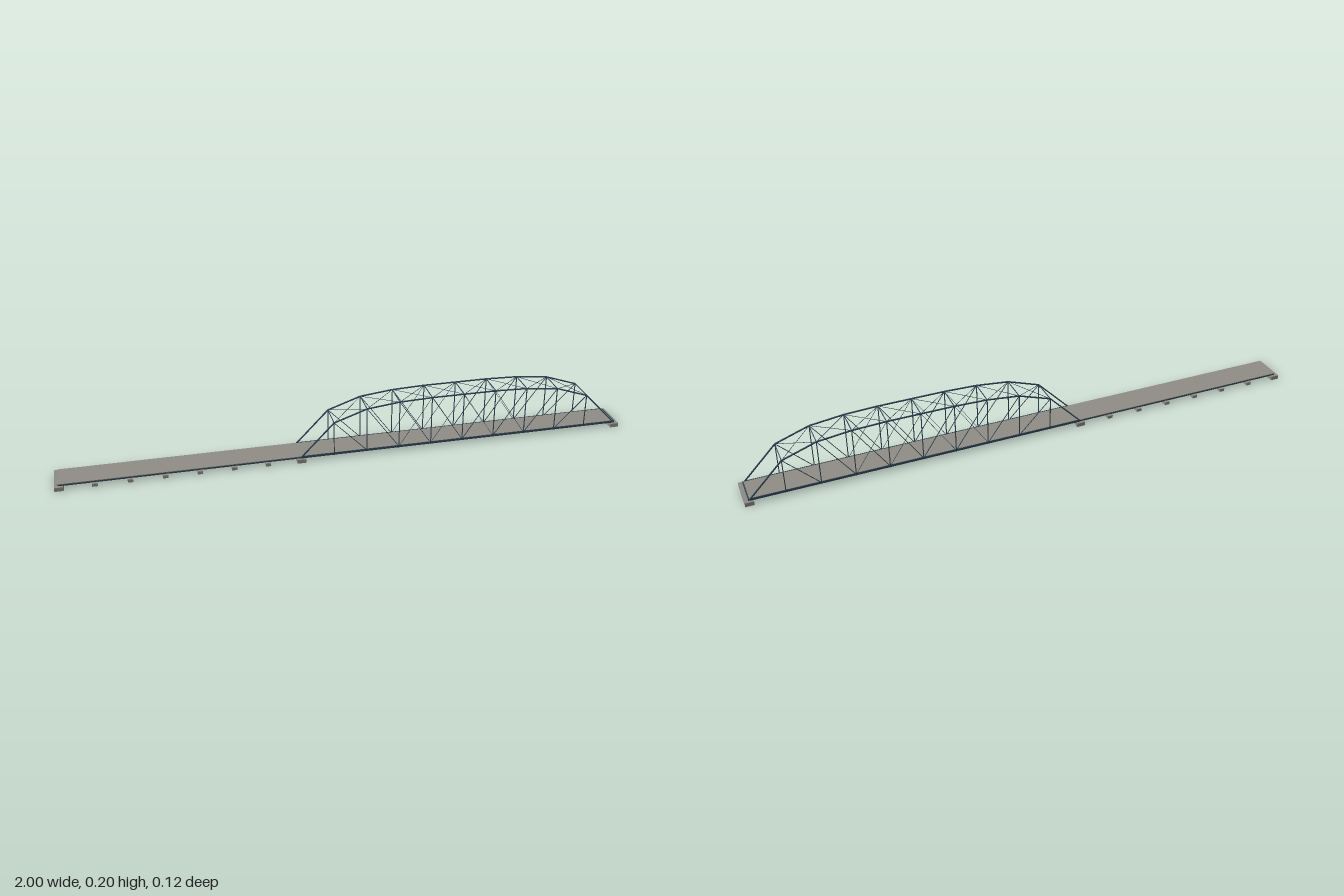
import * as THREE from 'three';

const steel = new THREE.MeshStandardMaterial({ color: 0x34495a });
const concrete = new THREE.MeshStandardMaterial({ color: 0x8c8a84 });
const roadway = new THREE.MeshStandardMaterial({ color: 0x8f8d85 });

const HALF = 0.05;            // half spacing of the two trusses
const START = -0.175;         // first truss node
const PANEL = 0.1157;         // truss panel length
const PANELS = 10;
const BASE = 0.0175;          // level of the bottom chord
const TOPS = [BASE, 0.137, 0.177, 0.19, 0.194, 0.194, 0.194, 0.19, 0.177, 0.137, BASE];
const X = i => START + i * PANEL;
const low = (i, z) => new THREE.Vector3(X(i), BASE, z);
const high = (i, z) => new THREE.Vector3(X(i), TOPS[i], z);

function box(parent, name, x0, x1, y0, y1, z0, z1, material) {
  const mesh = new THREE.Mesh(new THREE.BoxGeometry(x1 - x0, y1 - y0, z1 - z0), material);
  mesh.position.set((x0 + x1) / 2, (y0 + y1) / 2, (z0 + z1) / 2);
  mesh.name = name;
  parent.add(mesh);
}

// Straight square steel member between two points
function bar(parent, name, a, b, size) {
  const mesh = new THREE.Mesh(new THREE.BoxGeometry(size, size, a.distanceTo(b)), steel);
  mesh.position.copy(a).add(b).multiplyScalar(0.5);
  mesh.lookAt(b);
  mesh.name = name;
  parent.add(mesh);
}

function group(parent, name) {
  const g = new THREE.Group();
  g.name = name;
  parent.add(g);
  return g;
}

function buildTruss(parent, z) {
  const truss = group(parent, z > 0 ? 'frontTruss' : 'backTruss');
  box(truss, 'bottomChord', START, X(PANELS), 0.014, 0.022, z - 0.0015, z + 0.0015, steel);
  for (let i = 0; i < PANELS; i++) {
    const end = i === 0 || i === PANELS - 1;
    bar(truss, end ? 'endPost' : 'topChord', high(i, z), high(i + 1, z), 0.004);
    if (i > 0) bar(truss, 'vertical', low(i, z), high(i, z), 0.0028);
    if (end) continue;
    // Main diagonals fall towards midspan; the four middle panels also have counters
    const falling = i < PANELS / 2;
    const middle = i >= 3 && i <= 6;
    if (falling || middle) bar(truss, 'diagonal', high(i, z), low(i + 1, z), falling ? 0.002 : 0.0012);
    if (!falling || middle) bar(truss, 'diagonal', low(i, z), high(i + 1, z), falling ? 0.0012 : 0.002);
  }
}

export function createModel() {
  const model = new THREE.Group();
  model.name = 'trussBridge';

  // Piers: wide ones under the span ends, narrow ones under the approach
  const piers = group(model, 'piers');
  for (const x of [-0.985, START, 0.985])
    box(piers, 'mainPier', x - 0.015, x + 0.015, 0, 0.014, -0.06, 0.06, concrete);
  for (let i = 1; i < 7; i++) {
    const x = -0.985 + i * (START + 0.985) / 7;
    box(piers, 'approachPier', x - 0.009, x + 0.009, 0.003, 0.014, -0.06, 0.06, concrete);
  }

  // Approach: slab on longitudinal girders
  const approach = group(model, 'approach');
  box(approach, 'approachDeck', -0.99, START, 0.019, 0.0215, -HALF, HALF, roadway);
  for (let i = 0; i < 5; i++) {
    const z = -0.0475 + i * 0.02375;
    box(approach, 'approachGirder', -0.988, START, 0.013, 0.019, z - 0.0015, z + 0.0015, steel);
  }

  // Main span floor: slab, stringers and cross beams
  const floor = group(model, 'mainFloor');
  box(floor, 'mainDeck', START, 0.985, 0.019, 0.0212, -0.0485, 0.0485, roadway);
  for (let i = 0; i < 7; i++) {
    const z = -0.039 + i * 0.013;
    box(floor, 'stringer', START, 0.985, 0.0145, 0.019, z - 0.001, z + 0.001, steel);
  }
  for (let i = 0; i <= PANELS; i++)
    box(floor, 'floorBeam', X(i) - 0.002, X(i) + 0.002, 0.0125, 0.019, -HALF, HALF, steel);
  box(floor, 'endBeam', 0.983, 0.987, 0.0135, 0.0215, -HALF, HALF, steel);

  buildTruss(model, HALF);
  buildTruss(model, -HALF);

  // Overhead bracing between the trusses
  const bracing = group(model, 'topBracing');
  for (let i = 1; i < PANELS; i++) {
    bar(bracing, 'topStrut', high(i, -HALF), high(i, HALF), 0.0025);
    if (i === PANELS - 1) continue;
    for (const s of [-1, 1])
      bar(bracing, 'topCrossBrace', high(i, s * HALF), high(i + 1, -s * HALF), 0.0013);
  }
  return model;
}
